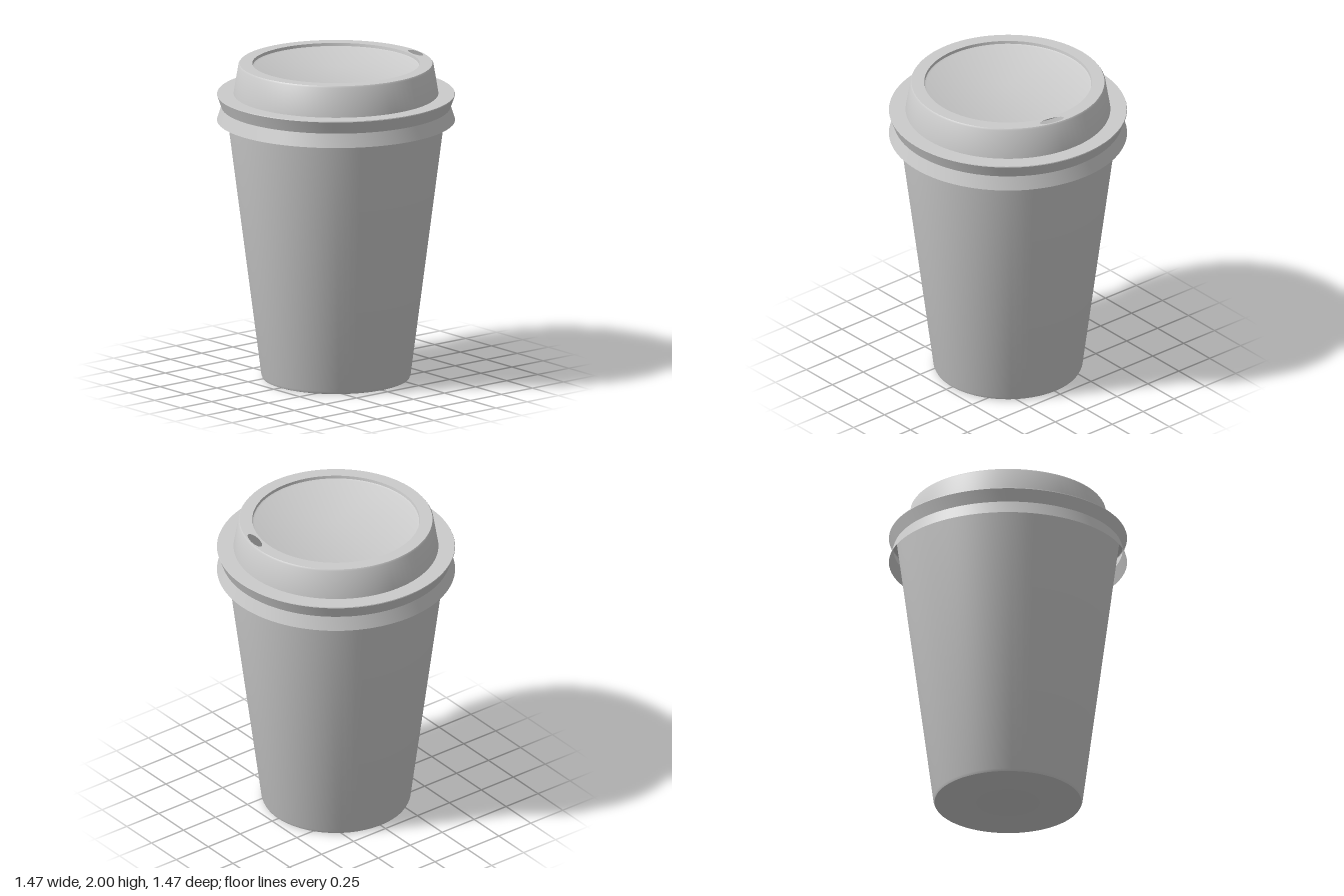
import * as THREE from 'three';
import { toCreasedNormals } from 'three/addons/utils/BufferGeometryUtils.js';

const SEGMENTS = 96;
const material = new THREE.MeshStandardMaterial({ color: 0xcccccc, side: THREE.DoubleSide });

// Turned part from [radius, height] pairs, keeping sharp edges crisp
function turned(name, profile) {
  const points = profile.map(([r, y]) => new THREE.Vector2(r, y));
  const geometry = toCreasedNormals(new THREE.LatheGeometry(points, SEGMENTS), 0.5);
  const mesh = new THREE.Mesh(geometry, material);
  mesh.name = name;
  return mesh;
}

export function createModel() {
  const model = new THREE.Group();
  model.name = 'takeawayCup';

  // Tapered cup with a softly rounded foot
  model.add(turned('cup', [
    [0, 0], [0.445, 0], [0.455, 0.004], [0.462, 0.02], [0.67, 1.64], [0.69, 1.79],
  ]));

  const lid = new THREE.Group();
  lid.name = 'lid';
  model.add(lid);

  // Flared skirt with a grip groove, ledge and raised wall
  lid.add(turned('lidSkirt', [
    [0.737, 1.64], [0.709, 1.725], [0.737, 1.803], [0.735, 1.808],
    [0.634, 1.808], [0.604, 1.99], [0.597, 2],
  ]));

  // Flat top rim pierced by an oval drinking hole
  const rimShape = new THREE.Shape().absarc(0, 0, 0.597, 0, Math.PI * 2, false);
  rimShape.holes.push(new THREE.Path().absarc(0, 0, 0.518, 0, Math.PI * 2, true));
  const angle = -0.195;
  rimShape.holes.push(new THREE.Path().absellipse(
    0.561 * Math.cos(angle), 0.561 * Math.sin(angle), 0.028, 0.083, 0, Math.PI * 2, true, angle));
  const rimGeometry = new THREE.ShapeGeometry(rimShape, SEGMENTS / 2).rotateX(-Math.PI / 2);
  const rim = new THREE.Mesh(rimGeometry, material);
  rim.name = 'lidRim';
  rim.position.y = 2;
  lid.add(rim);

  // Shallow recessed panel inside the rim
  lid.add(turned('lidPanel', [[0.518, 2], [0.515, 1.982], [0.505, 1.977], [0, 1.977]]));

  return model;
}
